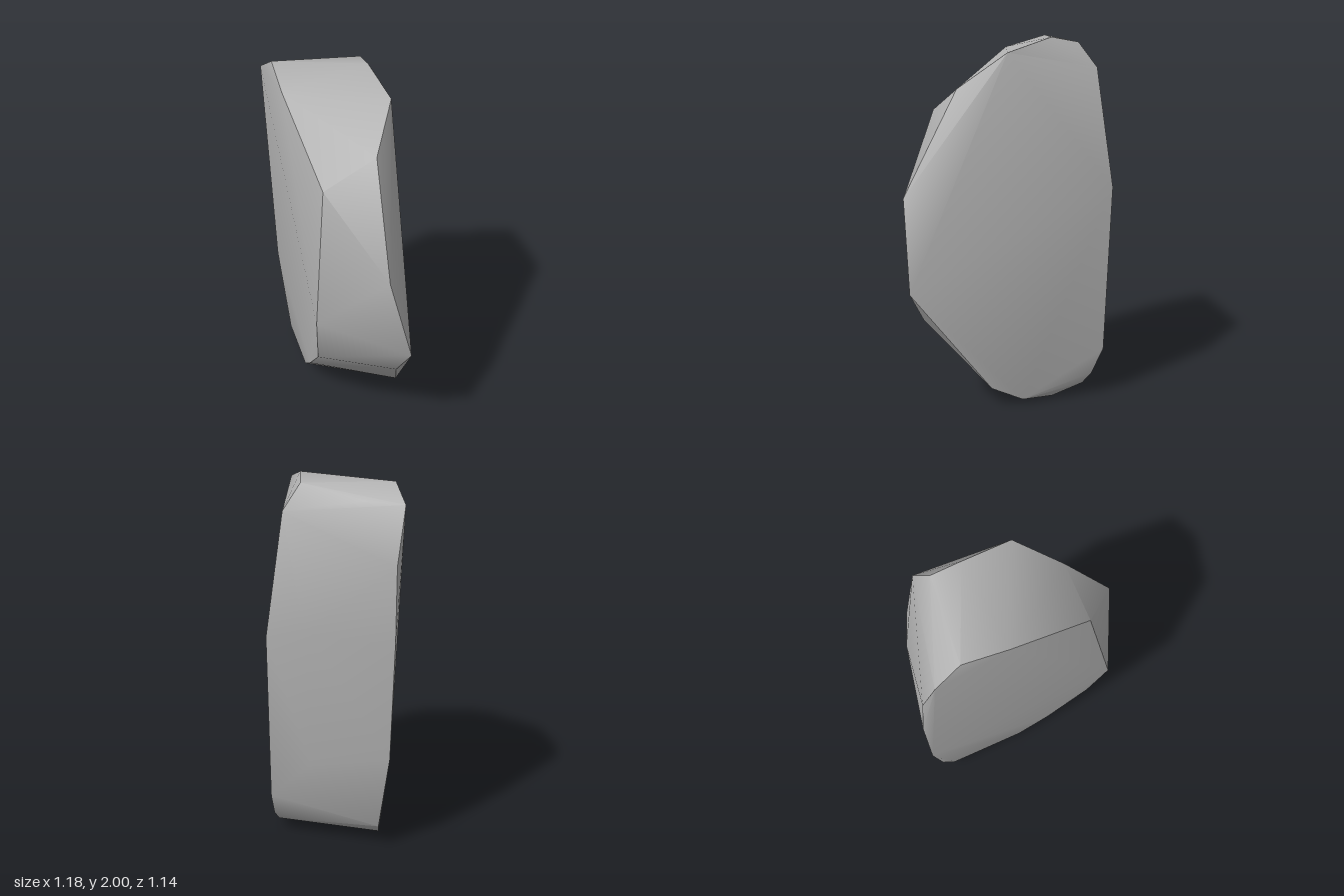
import * as THREE from 'three';
import { ConvexGeometry } from 'three/addons/geometries/ConvexGeometry.js';
import { toCreasedNormals } from 'three/addons/utils/BufferGeometryUtils.js';

// Corners around the broad front face of the slab
const frontRim = [
  [-0.57, 1.89, -0.17], [-0.45, 1.98, -0.08], [-0.29, 1.92, 0.11], [0.09, 1.6, 0.42],
  [0.12, 0.88, 0.575], [0.08, 0.56, 0.485], [-0.07, 0.3, 0.295], [-0.18, 0.13, 0.145],
  [-0.3, 0.03, -0.05], [-0.46, 0.06, -0.2], [-0.5, 0.13, -0.26], [-0.575, 0.56, -0.275],
  [-0.595, 1.2, -0.275], [-0.58, 1.6, -0.25],
];

// Corners around the broad back face
const backRim = [
  [0.04, 2, -0.23], [0.25, 1.93, -0.045], [0.29, 1.74, 0.22], [0.48, 1.18, 0.46],
  [0.59, 0.69, 0.395], [0.49, 0.52, 0.355], [0.36, 0.11, 0.015], [0.28, 0.03, -0.14],
  [0.12, 0, -0.27], [0.06, 0.07, -0.43], [0.05, 0.13, -0.48], [0.02, 0.27, -0.54],
  [0.005, 1.2, -0.57], [-0.03, 1.84, -0.465], [-0.06, 1.97, -0.355],
];

// Slight swelling of the narrow rear side
const rearBulge = [[-0.19, 1.25, -0.5], [-0.2, 0.5, -0.47], [-0.4, 1.9, -0.25]];

export function createModel() {
  const stoneGrey = new THREE.MeshStandardMaterial({ color: 0xb0b0b0 });
  stoneGrey.name = 'stoneGrey';

  // One convex boulder, soft along its sides and sharp at the face rims
  const points = [...frontRim, ...backRim, ...rearBulge].map((p) => new THREE.Vector3(...p));
  const rock = new THREE.Mesh(toCreasedNormals(new ConvexGeometry(points), 0.6), stoneGrey);
  rock.name = 'rock';

  const group = new THREE.Group();
  group.name = 'boulder';
  group.add(rock);
  return group;
}
